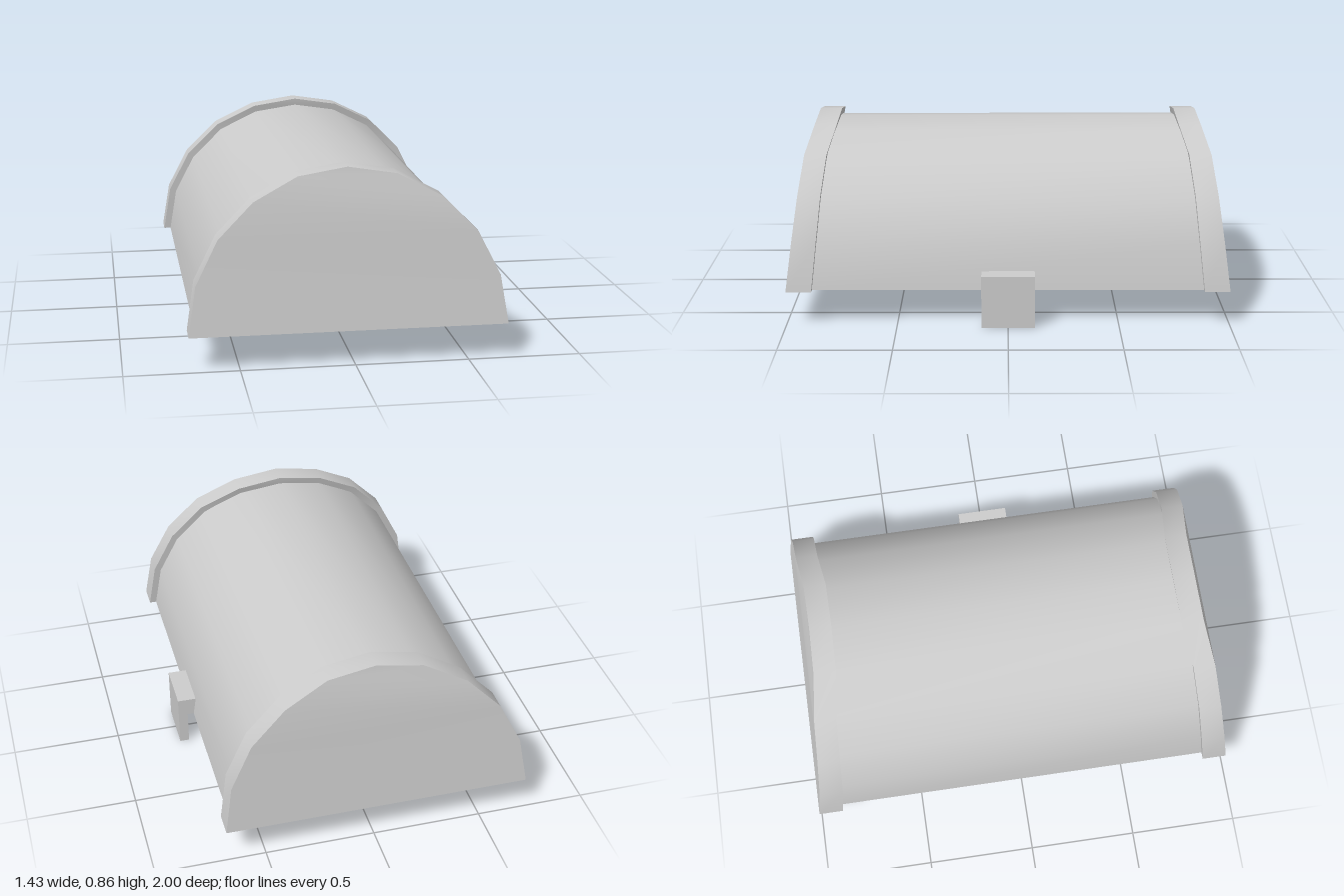
import * as THREE from 'three';
import { toCreasedNormals } from 'three/addons/utils/BufferGeometryUtils.js';

const SIDES = 10, CX = -0.022, BASE = 0.155, RX = 0.697, RY = 0.7;
// Distance from the middle for each arch level, base to crown
const OUTER = [1, 0.972, 0.95, 0.932, 0.903, 0.897];
const INNER = [0.885, 0.862, 0.846, 0.83, 0.8, 0.795];

// Solid half-round vault between two end profiles (z per arch level)
function vault(scale, zBack, zFront) {
  const ring = (zs) => Array.from({ length: SIDES + 1 }, (_, i) => {
    const t = (Math.PI * i) / SIDES;
    return [CX + Math.cos(t) * RX * scale, BASE + Math.sin(t) * RY * scale, zs[Math.min(i, SIDES - i)]];
  });
  const a = ring(zBack), b = ring(zFront), pos = [];
  const tri = (...p) => p.forEach((v) => pos.push(...v));
  const quad = (p, q, r, s) => { tri(p, q, r); tri(p, r, s); };

  // Curved shell
  for (let i = 0; i < SIDES; i++) quad(b[i], a[i], a[i + 1], b[i + 1]);
  // Flat underside
  quad(b[0], b[SIDES], a[SIDES], a[0]);
  // End faces in horizontal strips, closed by a triangle at the crown
  const top = SIDES / 2;
  for (let k = 0; k < top - 1; k++) {
    const l = SIDES - k;
    quad(b[k], b[k + 1], b[l - 1], b[l]);
    quad(a[l], a[l - 1], a[k + 1], a[k]);
  }
  tri(b[top - 1], b[top], b[top + 1]);
  tri(a[top + 1], a[top], a[top - 1]);

  const g = new THREE.BufferGeometry();
  g.setAttribute('position', new THREE.Float32BufferAttribute(pos, 3));
  return toCreasedNormals(g, 0.6);
}

export function createModel() {
  const group = new THREE.Group();
  const material = new THREE.MeshStandardMaterial({ color: 0xcccccc });
  const add = (name, geometry, parent = group) => {
    const mesh = new THREE.Mesh(geometry, material);
    mesh.name = name;
    parent.add(mesh);
    return mesh;
  };
  const neg = (zs) => zs.map((z) => -z);

  // Domed lid, its ends tucked inside the bands
  const bodyEnd = INNER.map((z) => z + 0.03);
  add('lidBody', vault(0.953, neg(bodyEnd), bodyEnd));

  // Raised end bands with leaning end faces
  add('frontBand', vault(1, INNER, OUTER));
  add('backBand', vault(1, neg(OUTER), neg(INNER)));

  // Latch: hanging plate and the tab joining it to the lid
  const latch = new THREE.Group();
  latch.name = 'latch';
  group.add(latch);
  add('latchPlate', new THREE.BoxGeometry(0.043, 0.24, 0.24), latch).position.set(0.6935, 0.12, 0);
  add('latchTab', new THREE.BoxGeometry(0.05, 0.085, 0.24), latch).position.set(0.655, 0.1975, 0);

  return group;
}
